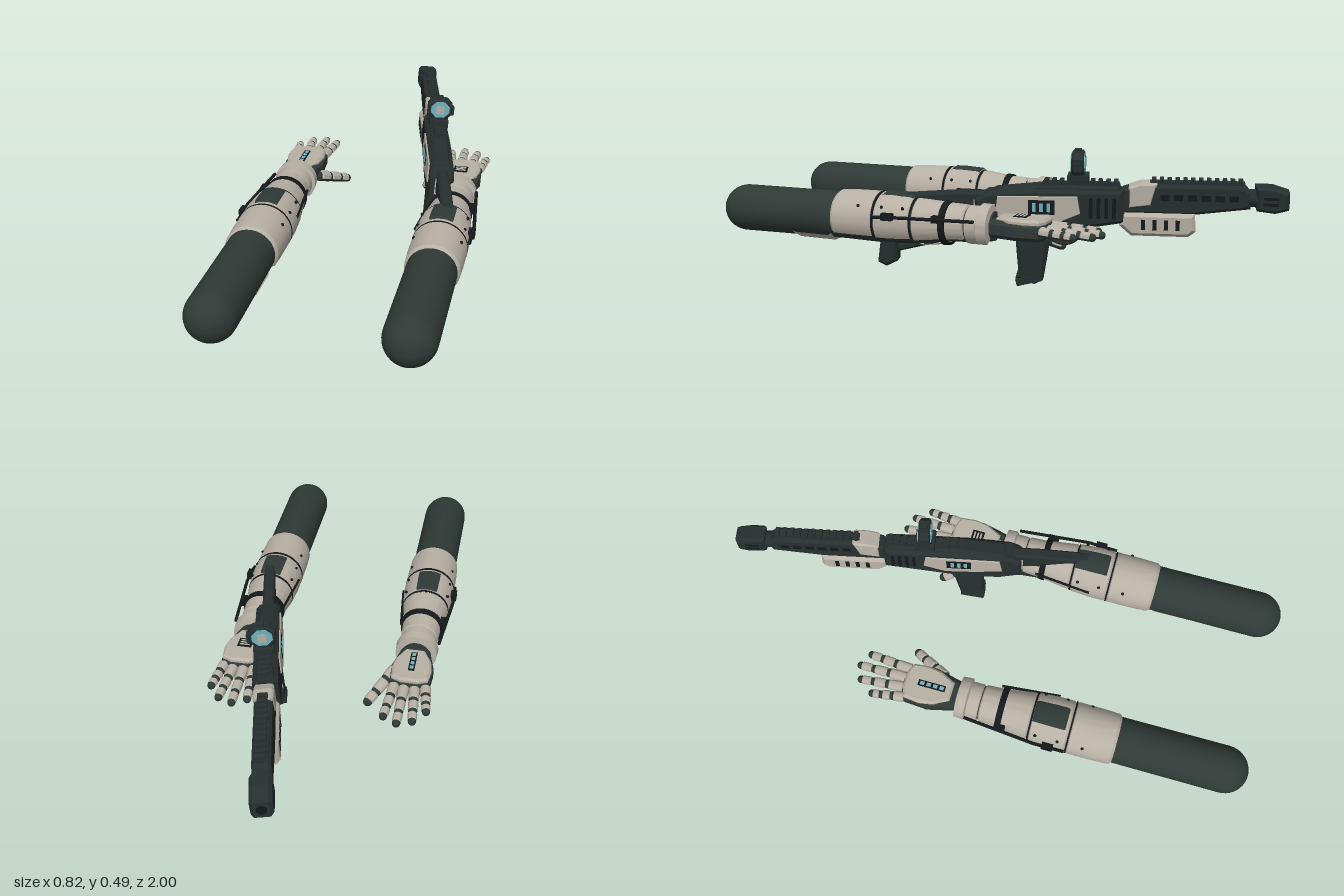
import * as THREE from 'three';
import { toCreasedNormals } from 'three/addons/utils/BufferGeometryUtils.js';

const mat = (name, color, side = THREE.FrontSide) => {
  const m = new THREE.MeshStandardMaterial({ color, side });
  m.name = name;
  return m;
};

export function createModel() {
  const sleeve = mat('sleeve dark', 0x2e3936);
  const plate = mat('light armour', 0xb8b0a4, THREE.DoubleSide);
  const metal = mat('gun metal', 0x262f2f);
  const black = mat('black trim', 0x15191b, THREE.DoubleSide);
  const cyan = mat('cyan glass', 0x6fb2bd);

  const add = (parent, name, geo, m, x = 0, y = 0, z = 0) => {
    const mesh = new THREE.Mesh(geo, m);
    mesh.name = name;
    mesh.position.set(x, y, z);
    parent.add(mesh);
    return mesh;
  };
  const box = (parent, name, m, w, h, d, x, y, z) => add(parent, name, new THREE.BoxGeometry(w, h, d), m, x, y, z);
  const outline = (pts) => new THREE.Shape(pts.map(p => new THREE.Vector2(p[0], p[1])));
  const extrude = (pts, depth, b) => new THREE.ExtrudeGeometry(outline(pts), {
    depth: depth - 2 * b, bevelEnabled: b > 0, bevelSize: b, bevelThickness: b, bevelOffset: -b, bevelSegments: 1,
  }).translate(0, 0, b - depth / 2);
  // side profile of [z, y] points, given width in x
  const side = (pts, w, b = 0.008) => extrude(pts, w, b).rotateY(-Math.PI / 2);
  // plan outline of [x, z] points, given height in y
  const plan = (pts, h, b = 0.008) => extrude(pts, h, b).rotateX(Math.PI / 2);
  // revolve [z, radius] points about z; arc is centred on the top, or turned by mid
  const revolve = (pts, arc = Math.PI * 2, mid = 0) => toCreasedNormals(
    new THREE.LatheGeometry(pts.map(p => new THREE.Vector2(p[1], p[0])), 40, Math.PI + mid - arc / 2, arc)
      .rotateX(Math.PI / 2), 0.5);
  const rod = (parent, name, m, a, b, r) => {
    const A = new THREE.Vector3(...a), B = new THREE.Vector3(...b);
    return add(parent, name, new THREE.TubeGeometry(new THREE.LineCurve3(A, B), 1, r, 8), m);
  };

  // one finger along -z: round joints, dark underside, light shells above
  function finger(parent, name, pos, yaw, pitch, lengths, r) {
    const f = new THREE.Group();
    f.name = name;
    f.position.set(...pos);
    f.rotation.set(pitch, yaw, 0, 'YXZ');
    let z = 0;
    lengths.forEach((len, i) => {
      const q = r * (1 - i * 0.08);
      add(f, 'fingerBone', new THREE.CapsuleGeometry(q * 0.9, len - q * 0.6, 4, 12).rotateX(Math.PI / 2), sleeve, 0, 0, z - len / 2);
      const e = len - 0.006;
      add(f, 'fingerShell', revolve([[-e, q * 0.72], [-e + 0.006, q], [-0.008, q * 1.05], [-0.002, q * 0.8]],
        Math.PI * 1.15), plate, 0, 0, z);
      z -= len;
    });
    parent.add(f);
  }

  function arm(s) {
    const a = new THREE.Group();
    a.name = s > 0 ? 'leftArm' : 'rightArm';
    a.position.set(0.3 * s, 0.22, 0);

    // sleeve with rounded shoulder end, narrowing to the wrist
    const prof = [[-0.06, 0.001], [-0.06, 0.05], [0.0, 0.06], [0.1, 0.063], [0.22, 0.08], [0.34, 0.087], [0.5, 0.083]];
    for (let i = 0; i <= 10; i++) {
      const t = i / 10 * Math.PI / 2;
      prof.push([0.915 + 0.085 * Math.sin(t), Math.max(0.0001, 0.084 * Math.cos(t))]);
    }
    add(a, 'sleeve', revolve(prof), sleeve);

    // armour shells
    add(a, 'elbowGuard', revolve([[0.365, 0.086], [0.37, 0.094], [0.46, 0.0935], [0.52, 0.091], [0.53, 0.083]], 4.3), plate);
    add(a, 'forearmGuard', revolve([[0.225, 0.08], [0.23, 0.089], [0.3, 0.094], [0.355, 0.094], [0.362, 0.086]], 4.4), plate);
    add(a, 'forearmGuard', revolve([[0.035, 0.06], [0.04, 0.067], [0.1, 0.07], [0.215, 0.086], [0.221, 0.079]], 4.6), plate);
    add(a, 'undersidePlate', revolve([[0.54, 0.082], [0.55, 0.092], [0.68, 0.09], [0.7, 0.083]], 1.6, Math.PI), plate);
    add(a, 'forearmUnderPlate', revolve([[0.1, 0.06], [0.11, 0.073], [0.2, 0.084], [0.21, 0.078]], 1.0, Math.PI), plate);
    add(a, 'armPad', revolve([[0.228, 0.09], [0.235, 0.095], [0.3, 0.099], [0.34, 0.099], [0.35, 0.092]], 0.85), sleeve);
    add(a, 'forearmBand', revolve([[0.1, 0.066], [0.1, 0.076], [0.122, 0.078], [0.122, 0.066]]), black);
    add(a, 'seam', revolve([[0.221, 0.084], [0.221, 0.0875], [0.227, 0.0875]], 4.4), black);
    add(a, 'seam', revolve([[0.361, 0.088], [0.361, 0.0945], [0.367, 0.0945]], 4.4), black);
    add(a, 'wristCuff', revolve([[-0.012, 0.05], [-0.01, 0.066], [0.03, 0.066], [0.036, 0.055]]), plate);
    add(a, 'wristRing', revolve([[-0.055, 0.048], [-0.05, 0.074], [-0.015, 0.076], [-0.01, 0.06]], 4.8), plate);

    // cable rods, clamps and bolts along the sides
    rod(a, 'outerRod', black, [0.076 * s, 0.025, -0.01], [0.1 * s, 0.025, 0.25], 0.006);
    rod(a, 'outerRod', black, [0.1 * s, 0.025, 0.25], [0.098 * s, 0.02, 0.36], 0.006);
    rod(a, 'innerRod', black, [-0.074 * s, 0.02, 0.09], [-0.094 * s, 0.02, 0.3], 0.005);
    [0.12, 0.3].forEach(z => box(a, 'rodClamp', black, 0.022, 0.024, 0.04, s * (0.065 + z * 0.11), 0.025, z));
    for (const k of [-1, 1]) for (const z of [0.25, 0.33, 0.42]) {
      add(a, 'bolt', new THREE.SphereGeometry(0.006, 8, 6), black, k * 0.078, 0.053, z);
    }

    // hand
    const h = new THREE.Group();
    h.name = 'hand';
    a.add(h);
    add(h, 'palm', plan([[-0.048, -0.04], [-0.062, -0.1], [-0.074, -0.15], [-0.068, -0.235], [-0.03, -0.255],
      [0.03, -0.255], [0.068, -0.235], [0.074, -0.15], [0.062, -0.1], [0.048, -0.04]], 0.062, 0.014), sleeve);
    add(h, 'handBack', plan([[-0.034, -0.075], [-0.062, -0.13], [-0.07, -0.18], [-0.064, -0.235], [-0.03, -0.25],
      [0.03, -0.25], [0.064, -0.235], [0.07, -0.18], [0.062, -0.13], [0.034, -0.075]], 0.024, 0.008), plate, 0, 0.03, 0);
    if (s > 0) {
      box(h, 'handPanel', black, 0.05, 0.004, 0.045, 0, 0.043, -0.155);
      for (const z of [-0.167, -0.155, -0.143]) box(h, 'panelLine', plate, 0.036, 0.003, 0.006, 0, 0.045, z);
    } else {
      box(h, 'handStrip', black, 0.022, 0.004, 0.1, 0, 0.043, -0.15);
      for (let i = 0; i < 4; i++) box(h, 'handLight', cyan, 0.013, 0.003, 0.016, 0, 0.045, -0.113 - i * 0.024);
    }
    // little finger to index finger: root x, root z, yaw, reach
    [[0.056, -0.235, -0.14, 0.125], [0.02, -0.248, -0.08, 0.165], [-0.016, -0.248, 0.01, 0.182], [-0.05, -0.24, 0.1, 0.165]]
      .forEach(([x, z, yaw, L]) => finger(h, 'finger', [x * s, 0.004, z], yaw * s, -0.06, [L * 0.4, L * 0.32, L * 0.28], 0.0185));
    finger(h, 'thumb', [-0.062 * s, -0.02, -0.12], 0.55 * s, -0.38, [0.06, 0.06, 0.048], 0.022);
    return a;
  }

  function makeGun() {
    const outer = new THREE.Group();
    outer.name = 'rifle';
    outer.position.set(0.246, 0.25, 0);
    outer.rotation.set(0, 0.219, -0.085, 'YXZ');
    const g = new THREE.Group();
    g.name = 'rifleParts';
    g.position.y = -0.25;
    outer.add(g);

    // receiver and top cover
    add(g, 'receiver', side([[0.03, 0.22], [0.03, 0.31], [-0.01, 0.335], [-0.16, 0.35], [-0.47, 0.35], [-0.48, 0.24],
      [-0.34, 0.215], [-0.2, 0.19], [-0.05, 0.19]], 0.085, 0.012), metal);
    add(g, 'topCover', side([[-0.0, 0.32], [-0.04, 0.345], [-0.19, 0.362], [-0.46, 0.362], [-0.47, 0.32]], 0.06), metal);
    const rail = (z0, z1, y, w) => {
      box(g, 'railBase', metal, w * 0.8, 0.012, z0 - z1, 0, y, (z0 + z1) / 2);
      const n = Math.round((z0 - z1) / 0.026);
      for (let i = 0; i < n; i++) box(g, 'railTooth', metal, w, 0.012, 0.014, 0, y + 0.009, z0 - (i + 0.5) * (z0 - z1) / n);
    };
    rail(-0.2, -0.46, 0.364, 0.04);

    // barrel shroud and muzzle
    add(g, 'barrelShroud', side([[-0.46, 0.27], [-0.47, 0.355], [-0.52, 0.372], [-0.87, 0.372], [-0.89, 0.35],
      [-0.89, 0.295], [-0.7, 0.27]], 0.06, 0.01), metal);
    rail(-0.56, -0.87, 0.375, 0.034);
    add(g, 'barrel', new THREE.CylinderGeometry(0.03, 0.03, 0.12, 16).rotateX(Math.PI / 2), metal, 0, 0.328, -0.9);
    add(g, 'muzzle', side([[-0.91, 0.29], [-0.905, 0.372], [-0.96, 0.372], [-1.014, 0.355], [-1.014, 0.295], [-0.97, 0.283]], 0.07, 0.01), metal);
    add(g, 'bore', new THREE.CylinderGeometry(0.017, 0.017, 0.004, 16).rotateX(Math.PI / 2), black, 0, 0.325, -1.014);

    // light fore grip and collar
    add(g, 'foreGrip', side([[-0.46, 0.23], [-0.47, 0.275], [-0.71, 0.275], [-0.715, 0.215], [-0.69, 0.195], [-0.5, 0.195]], 0.078, 0.012), plate);
    add(g, 'collar', side([[-0.49, 0.29], [-0.49, 0.362], [-0.53, 0.376], [-0.585, 0.376], [-0.565, 0.3]], 0.066, 0.006), plate);

    // painted side details
    for (const k of [-1, 1]) {
      const x = 0.043 * k;
      for (let i = 0; i < 4; i++) box(g, 'foreGripSlot', black, 0.004, 0.035, 0.014, 0.039 * k, 0.237, -0.54 - i * 0.038);
      for (let i = 0; i < 6; i++) box(g, 'shroudSlot', black, 0.004, 0.02, 0.03, 0.03 * k, 0.33, -0.61 - i * 0.045);
      for (const y of [0.315, 0.335]) box(g, 'muzzleSlot', black, 0.004, 0.009, 0.05, 0.035 * k, y, -0.955);
      add(g, 'sidePlate', side([[-0.04, 0.255], [-0.05, 0.325], [-0.32, 0.33], [-0.33, 0.27], [-0.25, 0.235], [-0.15, 0.24]], 0.009, 0.002), plate, x);
      box(g, 'sideWindow', black, 0.006, 0.05, 0.09, 0.046 * k, 0.29, -0.2);
      for (let i = 0; i < 3; i++) box(g, 'sideLight', cyan, 0.004, 0.03, 0.012, 0.049 * k, 0.29, -0.175 - i * 0.024);
      for (let i = 0; i < 4; i++) box(g, 'vent', black, 0.005, 0.07, 0.012, x, 0.29, -0.365 - i * 0.026);
    }
    box(g, 'rearPlate', plate, 0.05, 0.06, 0.008, 0, 0.275, 0.031);
    box(g, 'rearScreen', cyan, 0.026, 0.026, 0.004, 0, 0.283, 0.036);

    // grip, trigger and guard
    add(g, 'grip', side([[-0.105, 0.2], [-0.2, 0.2], [-0.225, 0.17], [-0.2, 0.02], [-0.17, 0.006], [-0.105, 0.026], [-0.115, 0.06]], 0.062, 0.012), metal);
    box(g, 'gripFoot', metal, 0.07, 0.024, 0.09, 0, 0.024, -0.153).rotation.x = 0.25;
    const guard = new THREE.CatmullRomCurve3([[0.2, -0.2], [0.162, -0.235], [0.152, -0.28], [0.17, -0.315], [0.22, -0.325]]
      .map(([y, z]) => new THREE.Vector3(0, y, z)));
    add(g, 'triggerGuard', new THREE.TubeGeometry(guard, 16, 0.007, 8), metal);
    rod(g, 'trigger', black, [0, 0.21, -0.25], [0, 0.165, -0.262], 0.006);

    // open stock: upper bar, lower strut and butt
    add(g, 'stockBar', side([[0.0, 0.25], [0.0, 0.33], [0.1, 0.33], [0.29, 0.315], [0.32, 0.3], [0.32, 0.27]], 0.042), metal);
    add(g, 'stockStrut', side([[-0.02, 0.18], [-0.02, 0.22], [0.05, 0.21], [0.34, 0.13], [0.34, 0.1], [0.04, 0.175]], 0.04), metal);
    add(g, 'butt', side([[0.31, 0.075], [0.3, 0.3], [0.335, 0.3], [0.37, 0.135], [0.38, 0.07], [0.35, 0.055]], 0.062, 0.01), metal);

    // sight: base, rounded frame, glass on both faces
    box(g, 'sightBase', metal, 0.07, 0.03, 0.07, 0, 0.382, -0.32);
    box(g, 'sightNeck', metal, 0.045, 0.025, 0.045, 0, 0.4, -0.32);
    const c = 0.02;
    const oct = (w, h) => [[-w, c - h], [c - w, -h], [w - c, -h], [w, c - h], [w, h - c], [w - c, h], [c - w, h], [-w, h - c]];
    add(g, 'sightFrame', extrude(oct(0.046, 0.039), 0.042, 0.006), metal, 0, 0.437, -0.32);
    add(g, 'sightGlass', extrude(oct(0.035, 0.031), 0.048, 0), cyan, 0, 0.438, -0.32);
    box(g, 'sightMark', plate, 0.03, 0.032, 0.051, 0, 0.437, -0.32);
    box(g, 'sightKnob', metal, 0.018, 0.014, 0.022, 0, 0.478, -0.32);
    box(g, 'sightDial', metal, 0.012, 0.03, 0.026, 0.048, 0.43, -0.32);
    return outer;
  }

  const model = new THREE.Group();
  model.name = 'armsAndRifle';
  model.add(arm(1), arm(-1), makeGun());
  return model;
}
